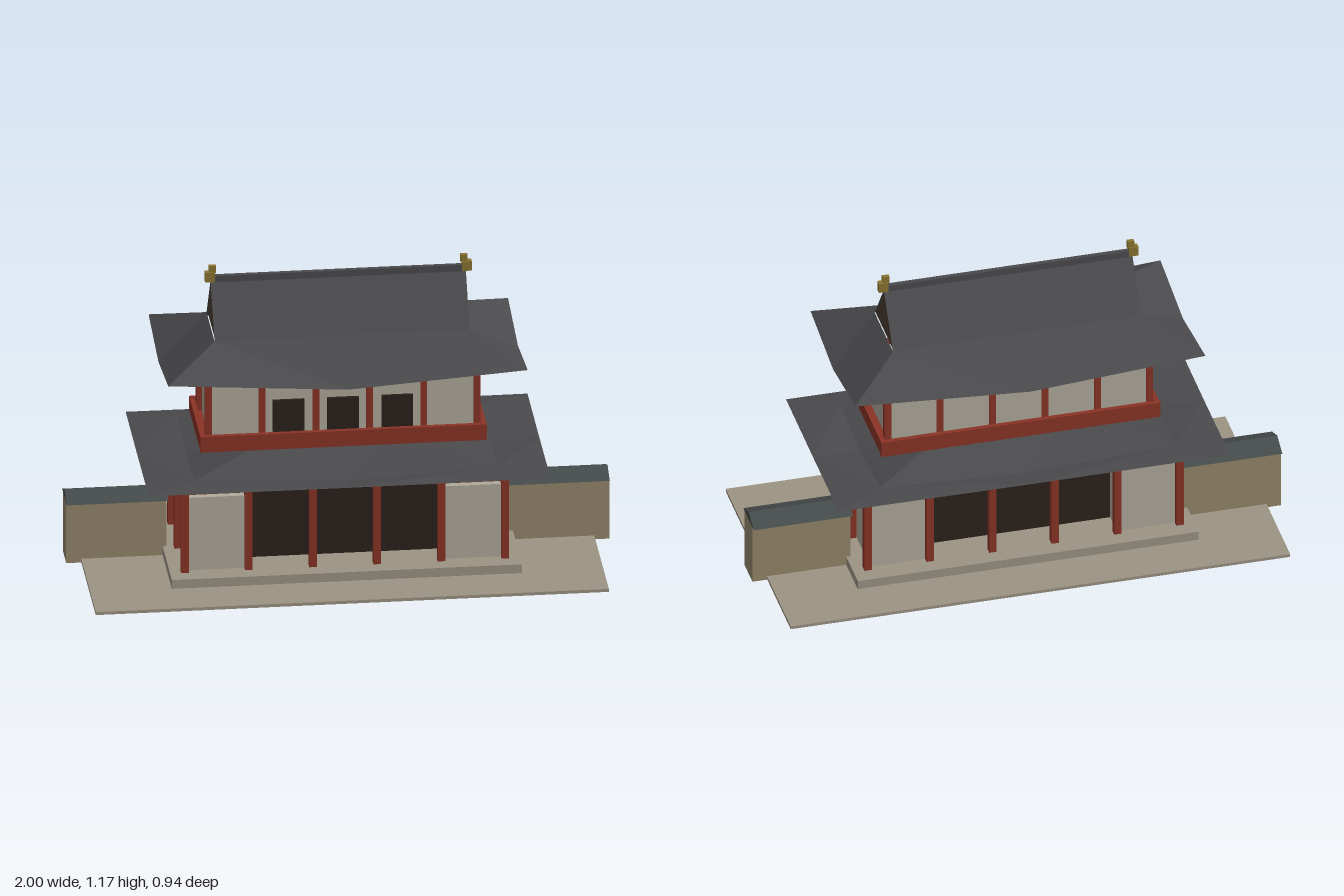
import * as THREE from 'three';

const mat = (color, side = THREE.FrontSide) =>
  new THREE.MeshStandardMaterial({ color, side, flatShading: true });

export function createModel() {
  const root = new THREE.Group();
  root.name = 'gatehouse';
  const red = mat(0x8a3325), plaster = mat(0xb0aa9c), stone = mat(0x9c9484);
  const dark = mat(0x2a211b), clay = mat(0x94866a), gold = mat(0x8a7430);
  const tile = mat(0x4a4a4d, THREE.DoubleSide), gableMat = mat(0x4a3b30, THREE.DoubleSide);
  const wallTile = mat(0x454a4a);

  // Box given by its minimum and maximum corners
  const box = (name, m, x0, x1, y0, y1, z0, z1) => {
    const mesh = new THREE.Mesh(new THREE.BoxGeometry(x1 - x0, y1 - y0, z1 - z0), m);
    mesh.position.set((x0 + x1) / 2, (y0 + y1) / 2, (z0 + z1) / 2);
    mesh.name = name;
    root.add(mesh);
  };
  const post = (name, x, z, r, y0, y1) => box(name, red, x - r, x + r, y0, y1, z - r, z + r);

  const triangles = (name, m, tris) => {
    const g = new THREE.BufferGeometry();
    g.setAttribute('position', new THREE.Float32BufferAttribute(tris.flat(2), 3));
    g.computeVertexNormals();
    const mesh = new THREE.Mesh(g, m);
    mesh.name = name;
    root.add(mesh);
  };

  // Hipped roof lofted through rectangular rings [halfX, halfZ, cornerY, middleY]
  const hipRoof = (name, rings, extra = []) => {
    const loops = rings.map(([x, z, c, m]) => [
      [x, c, z], [x, m, 0], [x, c, -z], [0, m, -z],
      [-x, c, -z], [-x, m, 0], [-x, c, z], [0, m, z],
    ]);
    const tris = [...extra];
    for (let k = 0; k + 1 < loops.length; k++) {
      for (let i = 0; i < 8; i++) {
        const j = (i + 1) % 8, lo = loops[k], hi = loops[k + 1];
        // Diagonals mirror about the middle of each side
        if (i % 2 === 0) tris.push([lo[i], lo[j], hi[i]], [lo[j], hi[j], hi[i]]);
        else tris.push([lo[i], lo[j], hi[j]], [lo[i], hi[j], hi[i]]);
      }
    }
    triangles(name, tile, tris);
  };

  // Ground and platform
  box('ground', stone, -0.945, 0.945, 0.003, 0.015, -0.47, 0.47);
  box('platform', stone, -0.645, 0.645, 0, 0.05, -0.293, 0.293);

  // Lower storey
  box('doors', dark, -0.357, 0.357, 0.05, 0.355, -0.118, 0.118);
  for (const s of [-1, 1]) {
    const x = s * 0.466;
    box('sideRoom', plaster, x - 0.11, x + 0.11, 0.05, 0.34, -0.212, 0.212);
    for (const px of [-0.59, -0.355, -0.118, 0.118, 0.355, 0.59])
      post('lowerPost', px, s * 0.22, 0.014, 0.05, 0.385);
    post('lowerPost', s * 0.59, 0, 0.014, 0.05, 0.385);
    box('lowerBeam', red, -0.605, 0.605, 0.365, 0.403, s * 0.224 - 0.018, s * 0.224 + 0.018);
    box('lowerSideBeam', red, s * 0.588 - 0.014, s * 0.588 + 0.014, 0.365, 0.4, -0.21, 0.21);
  }

  // Lower roof
  hipRoof('lowerRoof', [
    [0.74, 0.383, 0.43, 0.428],
    [0.56, 0.29, 0.443, 0.418],
    [0.22, 0.045, 0.508, 0.508],
    [0.001, 0.001, 0.512, 0.512],
  ]);

  // Balcony floor and rails
  box('balconyFloor', red, -0.52, 0.52, 0.508, 0.535, -0.178, 0.178);
  for (const s of [-1, 1]) {
    box('balconyRail', red, -0.528, 0.528, 0.508, 0.57, s * 0.179 - 0.009, s * 0.179 + 0.009);
    box('balconySideRail', red, s * 0.518 - 0.009, s * 0.518 + 0.009, 0.511, 0.567, -0.17, 0.17);
  }

  // Upper storey
  box('upperRoom', plaster, -0.487, 0.487, 0.53, 0.78, -0.152, 0.152);
  for (const s of [-1, 1]) {
    for (const px of [-0.495, -0.298, -0.099, 0.099, 0.298, 0.495])
      post('upperPost', px, s * 0.144, 0.0125, 0.53, 0.775);
    box('upperBeam', red, -0.506, 0.506, 0.765, 0.788, s * 0.146 - 0.015, s * 0.146 + 0.015);
    box('upperSideBeam', red, s * 0.494 - 0.012, s * 0.494 + 0.012, 0.765, 0.788, -0.14, 0.14);
  }
  for (const x of [-0.2, 0, 0.2])
    box('window', dark, x - 0.058, x + 0.058, 0.565, 0.692, 0.145, 0.163);

  // Upper hip-and-gable roof
  const gx = 0.47, gz = 0.133, gy = 0.927, top = 1.112;
  const slopes = [1, -1].flatMap((s) => {
    const a = [-s * gx, gy, s * gz], b = [s * gx, gy, s * gz];
    const c = [s * gx, top, 0], d = [-s * gx, top, 0];
    return [[a, b, c], [a, c, d]];
  });
  hipRoof('upperRoof', [[0.662, 0.326, 0.842, 0.796], [gx, gz, gy, gy]], slopes);
  triangles('gables', gableMat, [1, -1].map((s) => {
    const x = s * (gx - 0.004);
    return [[x, gy, s * gz], [x, gy, -s * gz], [x, top, 0]];
  }));

  // Ridge with gilded end ornaments
  box('ridge', tile, -0.478, 0.478, 1.108, 1.133, -0.009, 0.009);
  for (const s of [-1, 1]) {
    const x = s * 0.473, tip = s * 0.463;
    box('ridgeOrnament', gold, x - 0.018, x + 0.018, 1.11, 1.148, -0.012, 0.012);
    box('ridgeOrnamentTip', gold, tip - 0.013, tip + 0.013, 1.145, 1.173, -0.008, 0.008);
  }

  // Boundary walls with small tiled caps
  const cap = new THREE.Shape([
    new THREE.Vector2(-0.076, 0), new THREE.Vector2(0.076, 0), new THREE.Vector2(0, 0.032),
  ]);
  const capGeo = new THREE.ExtrudeGeometry(cap, { depth: 0.375, bevelEnabled: false })
    .translate(0, 0, -0.1875).rotateY(Math.PI / 2);
  for (const s of [-1, 1]) {
    const x = s * 0.815;
    box('boundaryWall', clay, x - 0.185, x + 0.185, 0, 0.24, -0.127, -0.013);
    const mesh = new THREE.Mesh(capGeo, wallTile);
    mesh.position.set(s * 0.8125, 0.239, -0.071);
    mesh.name = 'boundaryWallCap';
    root.add(mesh);
  }
  return root;
}
